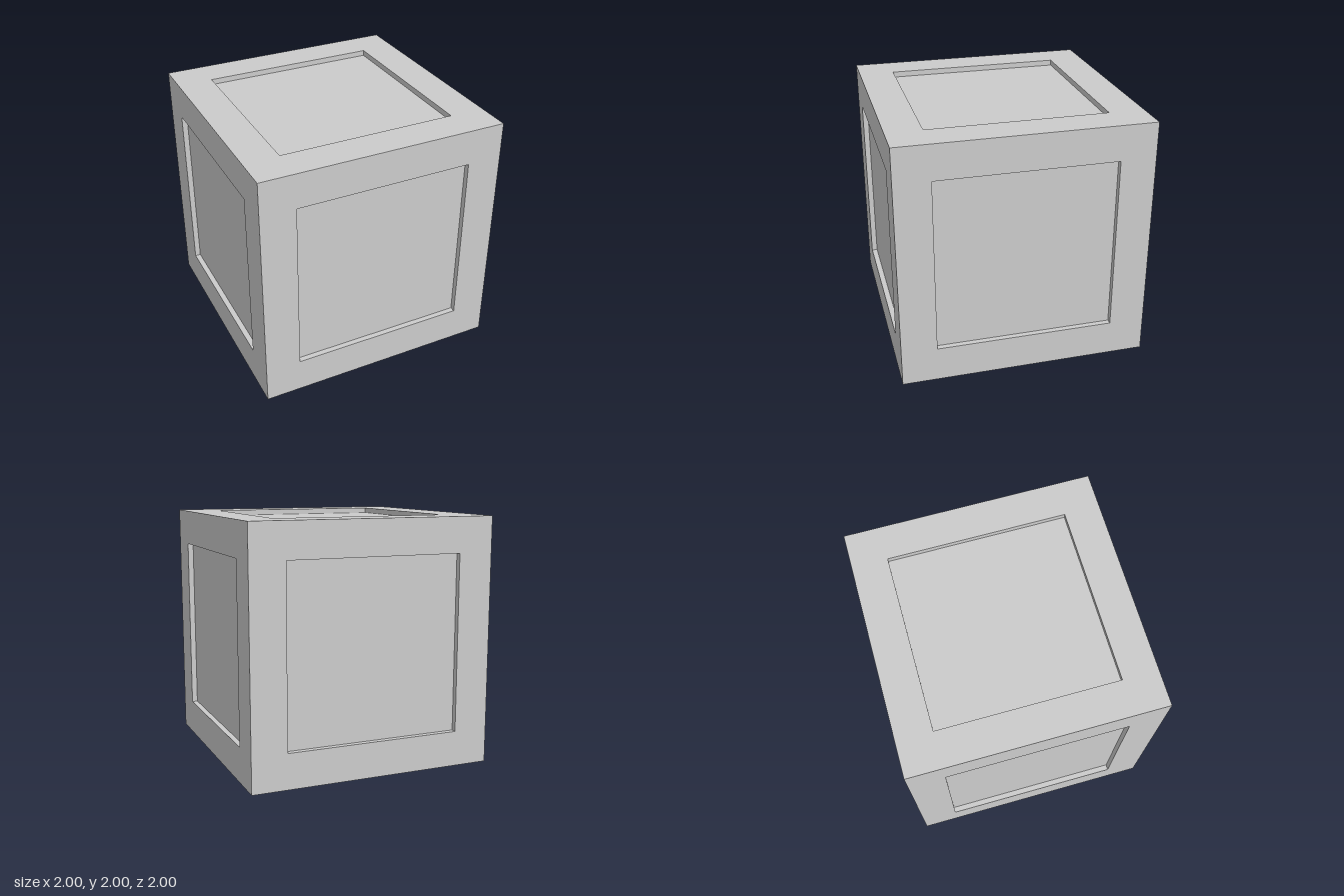
import * as THREE from 'three';
import { mergeGeometries } from 'three/addons/utils/BufferGeometryUtils.js';

const DEPTH = 0.045; // how far the panels are sunk
const PANEL = 1.43; // side of the square panels

const PANEL_RECESS = [{ y: 0, w: PANEL, h: PANEL }];
const SLOT_RECESSES = [-1, 1].map((s) => ({ y: s * 0.604, w: PANEL, h: 0.222 }));

// Inner walls of one recess, facing its middle
function recessWalls({ y, w, h }) {
  return [0, 1, 2, 3].map((k) => {
    const [length, reach] = k % 2 ? [h, w / 2] : [w, h / 2];
    return new THREE.PlaneGeometry(length, DEPTH)
      .rotateX(Math.PI / 2)
      .translate(0, reach, 1 - DEPTH / 2)
      .rotateZ((k * Math.PI) / 2)
      .translate(0, y, 0);
  });
}

// One cube face, looking along +z: flat rim with sunken rectangles
function cubeFace(name, recesses, material) {
  const face = new THREE.Group();
  face.name = name;

  const outline = new THREE.Shape().moveTo(-1, -1).lineTo(1, -1).lineTo(1, 1).lineTo(-1, 1).closePath();
  for (const { y, w, h } of recesses) {
    const x = w / 2, lo = y - h / 2, hi = y + h / 2;
    outline.holes.push(new THREE.Path().moveTo(-x, lo).lineTo(-x, hi).lineTo(x, hi).lineTo(x, lo).closePath());
  }
  const rimParts = [new THREE.ShapeGeometry(outline).translate(0, 0, 1)];
  recesses.forEach((r) => rimParts.push(...recessWalls(r)));
  const rim = new THREE.Mesh(mergeGeometries(rimParts), material);
  rim.name = name + 'Rim';
  face.add(rim);

  for (const { y, w, h } of recesses) {
    const panel = new THREE.Mesh(new THREE.PlaneGeometry(w, h), material);
    panel.position.set(0, y, 1 - DEPTH);
    panel.name = name + 'Panel';
    face.add(panel);
  }
  return face;
}

export function createModel() {
  const model = new THREE.Group();
  model.name = 'panelledCrate';
  const material = new THREE.MeshStandardMaterial({ color: 0xcccccc, flatShading: true });

  // Four sides
  ['front', 'left', 'back', 'right'].forEach((name, i) => {
    const side = cubeFace(name, PANEL_RECESS, material);
    side.rotation.y = (i * Math.PI) / 2;
    model.add(side);
  });

  // Top with a square panel
  const top = cubeFace('top', PANEL_RECESS, material);
  top.rotation.x = -Math.PI / 2;

  // Underside with two long slots running across
  const bottom = cubeFace('bottom', SLOT_RECESSES, material);
  bottom.rotation.x = Math.PI / 2;

  model.add(top, bottom);
  model.children.forEach((face) => (face.position.y = 1));
  return model;
}
